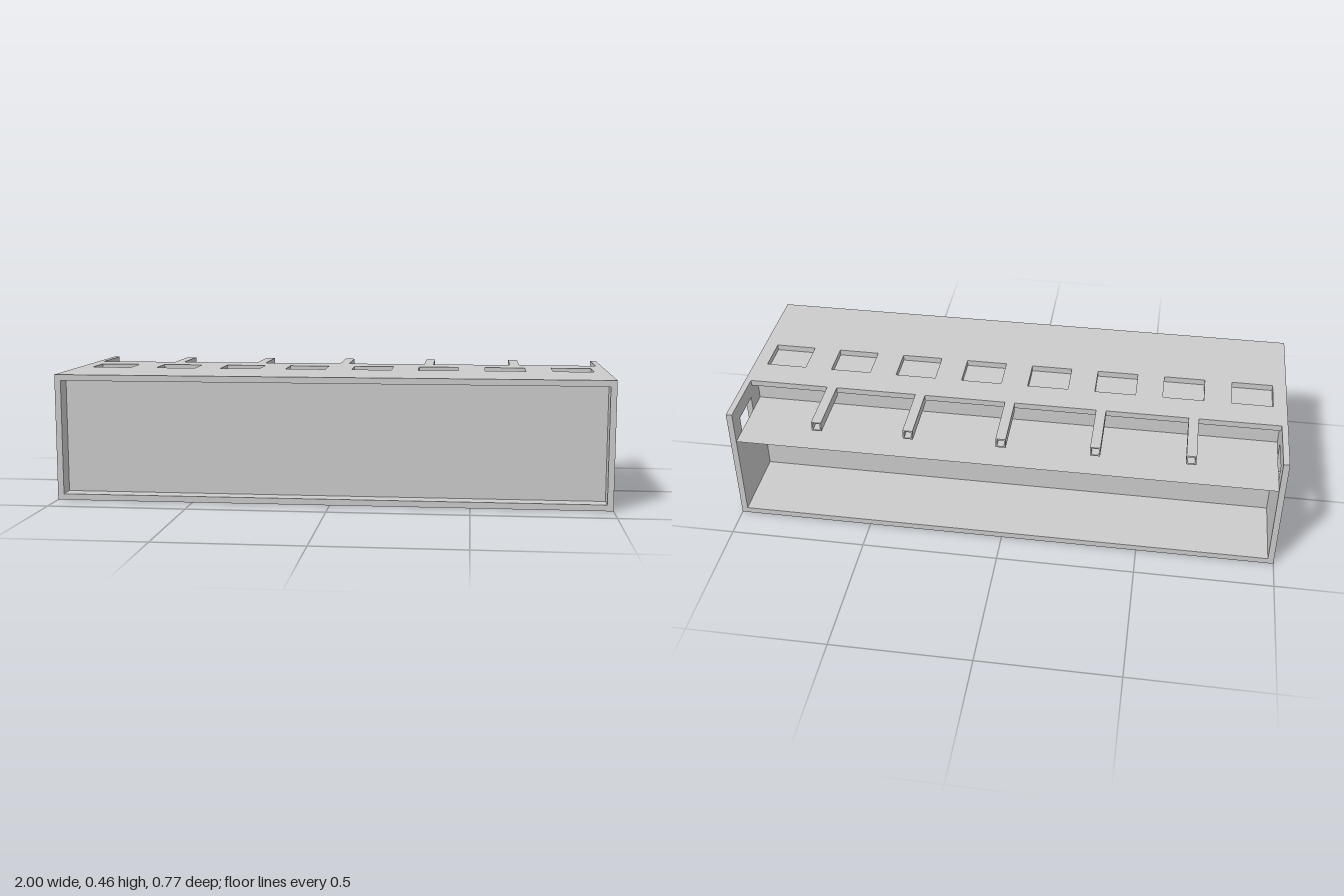
import * as THREE from 'three';

const W = 2, H = 0.46, ZB = -0.383, ZF = 0.383;
const T = 0.022;                 // shell thickness
const XI = 1 - T;                // inner half width
const CORE_BACK = -0.1, CORE_FRONT = 0.32, SHELF_Y = 0.34, ROOF_BACK = -0.162;

const mat = new THREE.MeshStandardMaterial({ color: 0xcccccc, flatShading: true, side: THREE.DoubleSide });

function rect(target, x0, y0, x1, y1) {
  target.moveTo(x0, y0);
  target.lineTo(x1, y0);
  target.lineTo(x1, y1);
  target.lineTo(x0, y1);
  target.closePath();
  return target;
}

// Rectangular plate with rectangular openings, extruded along +z
function plate(outline, openings, depth) {
  const shape = rect(new THREE.Shape(), ...outline);
  openings.forEach((o) => shape.holes.push(rect(new THREE.Path(), ...o)));
  return new THREE.ExtrudeGeometry(shape, { depth, bevelEnabled: false });
}

export function createModel() {
  const root = new THREE.Group();
  const add = (name, geo, x = 0, y = 0, z = 0) => {
    const m = new THREE.Mesh(geo, mat);
    m.name = name;
    m.position.set(x, y, z);
    root.add(m);
    return m;
  };

  // Opening rows, as z ranges shared by the shell plates
  const rows = [[-0.047, 0.085], [-0.315, -0.185]];
  const slots = (row) => Array.from({ length: 8 }, (_, i) => {
    const x = -0.875 + i * 0.25;
    return [x - 0.075, -row[1], x + 0.075, -row[0]];
  });

  // Roof and floor plates
  add('roof', plate([-XI, -ZF, XI, -ROOF_BACK], slots(rows[0]), T).rotateX(-Math.PI / 2), 0, H - T, 0);
  add('floor', plate([-XI, -ZF, XI, -ZB], rows.flatMap(slots), T).rotateX(-Math.PI / 2));

  // Side walls with four windows each
  const windows = rows.flatMap(([a, b]) =>
    [[0.065, 0.19], [0.272, 0.398]].map(([y0, y1]) => [-b, y0, -a, y1]));
  for (const [name, x] of [['leftWall', XI], ['rightWall', -1]]) {
    add(name, plate([-ZF, 0, -ZB, H], windows, T).rotateY(Math.PI / 2), x);
  }

  // Inner block, set back behind the front rim
  const coreH = H - 2 * T;
  add('core', new THREE.BoxGeometry(2 * XI, coreH, CORE_FRONT - CORE_BACK),
    0, H / 2, (CORE_FRONT + CORE_BACK) / 2);

  // Thin lining of the rear compartment: shelf, floor and sides
  const depth = CORE_BACK - ZB, zMid = (CORE_BACK + ZB) / 2;
  const sheet = () => new THREE.PlaneGeometry(2 * XI, depth).rotateX(-Math.PI / 2);
  add('rearShelf', sheet(), 0, SHELF_Y, zMid);
  add('rearFloorLining', sheet(), 0, T, zMid);
  for (const s of [-1, 1]) {
    add(s > 0 ? 'leftLining' : 'rightLining',
      new THREE.PlaneGeometry(depth, SHELF_Y - T).rotateY(-s * Math.PI / 2),
      s * XI, (SHELF_Y + T) / 2, zMid);
  }

  // Hollow square bars reaching back from the roof edge
  const b = 0.018, bi = 0.013;
  const bar = plate([-b, -b, b, b], [[-bi, -bi, bi, bi]], ROOF_BACK - ZB);
  for (let i = -2; i <= 2; i++) add('rearBar', bar, i * W / 6, H - b, ZB);

  return root;
}
